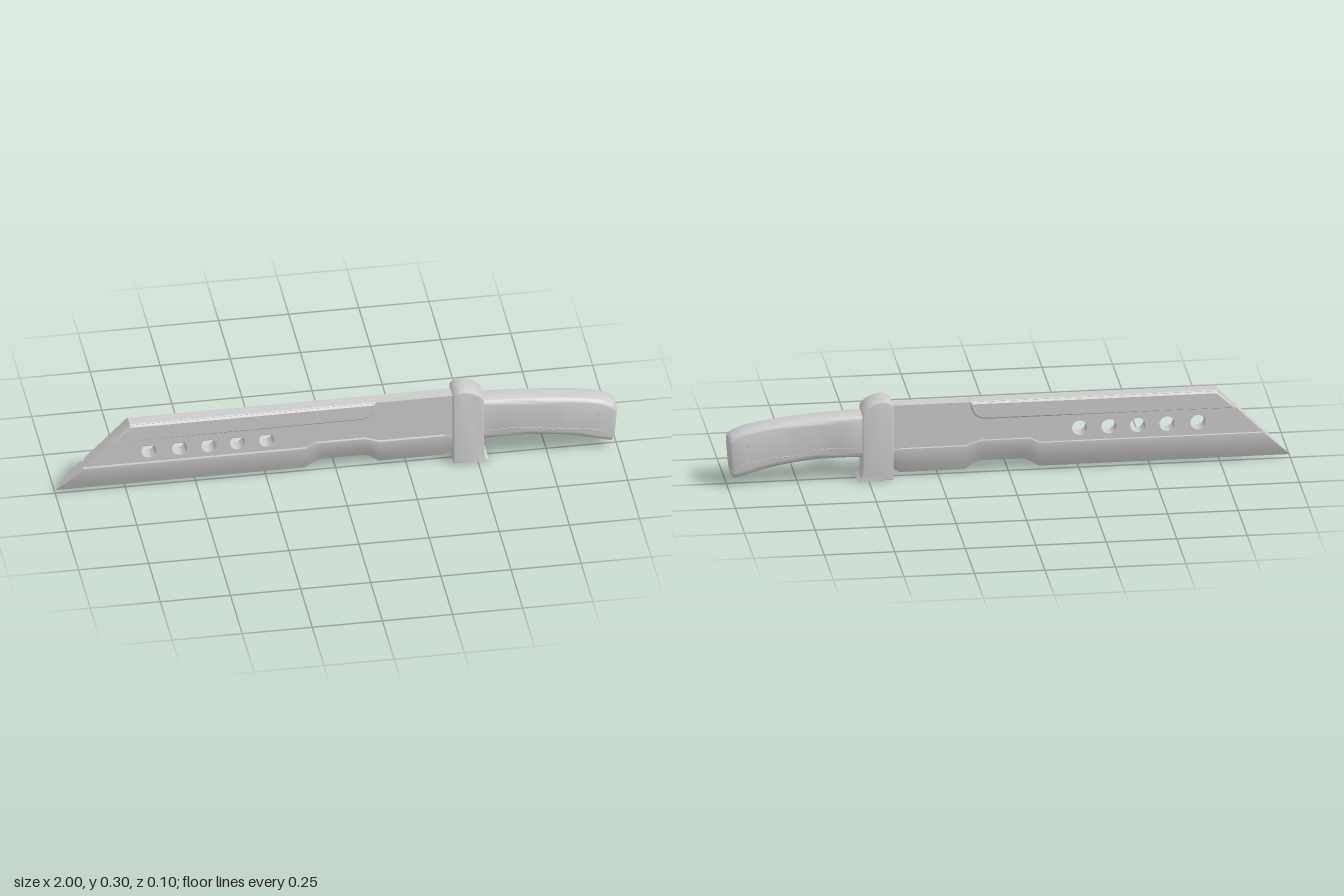
import * as THREE from 'three';
import { toCreasedNormals } from 'three/addons/utils/BufferGeometryUtils.js';

const material = new THREE.MeshStandardMaterial({ color: 0xcccccc });

function addMesh(group, name, geometry, crease = 0.5) {
  const mesh = new THREE.Mesh(toCreasedNormals(geometry, crease), material);
  mesh.name = name;
  group.add(mesh);
  return mesh;
}

const outline = (points) => new THREE.Shape(points.map(([x, y]) => new THREE.Vector2(x, y)));

// Extrusion centred on z = 0, bevelled inside its outline
function slab(shape, halfWidth, bevel = 0, segments = 1) {
  const geometry = new THREE.ExtrudeGeometry(shape, {
    depth: 2 * (halfWidth - bevel), curveSegments: 20, bevelEnabled: bevel > 0,
    bevelSize: bevel, bevelThickness: bevel, bevelOffset: -bevel, bevelSegments: segments,
  });
  return geometry.translate(0, 0, bevel - halfWidth);
}

// Closed skin over rings of [x, y, z] that run towards +x
function loft(rings) {
  const n = rings[0].length;
  const positions = [];
  const tri = (a, b, c) => positions.push(...a, ...b, ...c);
  const centre = (ring) => [0, 1, 2].map((k) => ring.reduce((sum, p) => sum + p[k], 0) / n);
  const first = rings[0], last = rings[rings.length - 1];
  const c0 = centre(first), c1 = centre(last);
  for (let j = 0; j < n; j++) {
    const k = (j + 1) % n;
    for (let i = 0; i < rings.length - 1; i++) {
      tri(rings[i][j], rings[i][k], rings[i + 1][k]);
      tri(rings[i][j], rings[i + 1][k], rings[i + 1][j]);
    }
    tri(c0, first[k], first[j]);
    tri(c1, last[j], last[k]);
  }
  const geometry = new THREE.BufferGeometry();
  geometry.setAttribute('position', new THREE.Float32BufferAttribute(positions, 3));
  return geometry;
}

// The slanted front end of the blade
const slant = (y) => y - 1.01;

function buildBlade() {
  const blade = new THREE.Group();
  blade.name = 'blade';
  const halfWidth = 0.025, gap = 0.012;

  // Line where the ground edge meets the plate, with its step over the notch
  const seam = [[-0.11, 0.106], [-0.075, 0.124], [0.1, 0.124], [0.15, 0.106], [0.42, 0.106]];

  // Flat plate with round holes
  const plate = outline([
    [slant(0.106 + gap), 0.106 + gap], ...seam.map(([x, y]) => [x, y + gap]),
    [0.42, 0.27], [slant(0.27), 0.27],
  ]);
  for (const x of [-0.67, -0.56, -0.456, -0.354, -0.25]) {
    plate.holes.push(new THREE.Path().absarc(x, 0.155, 0.027, 0, Math.PI * 2, true));
  }
  addMesh(blade, 'plate', slab(plate, halfWidth));

  // Floor of the long groove, and the solid piece that closes it near the guard
  const floor = [[slant(0.1), 0.1], ...seam.map(([x, y]) => [x, y - 0.006])];
  const roof = [...seam].reverse().map(([x, y]) => [x, y + gap + 0.003]);
  addMesh(blade, 'grooveFloor', slab(outline([...floor, ...roof, [slant(0.121), 0.121]]), 0.017));
  addMesh(blade, 'grooveEnd',
    slab(outline([[0.385, 0.1], [0.42, 0.1], [0.42, 0.12], [0.385, 0.12]]), halfWidth));

  // Raised upper panel on both sides, ending in a quarter curve
  const panel = new THREE.Shape();
  panel.moveTo(slant(0.202), 0.202);
  panel.lineTo(0.08, 0.202);
  panel.bezierCurveTo(0.12, 0.204, 0.14, 0.225, 0.142, 0.272);
  panel.lineTo(slant(0.272), 0.272);
  addMesh(blade, 'upperPanel', slab(panel, 0.031, 0.009));

  // Ground cutting edge: [x, bottom, top]
  const stations = [
    [-1, 0.01, 0.106], [-0.11, 0.01, 0.106], [-0.075, 0.03, 0.124], [-0.055, 0.04, 0.124],
    [0.1, 0.04, 0.124], [0.12, 0.034, 0.118], [0.155, 0.01, 0.106], [0.385, 0.01, 0.106],
    [0.42, 0.032, 0.106],
  ];
  const section = [[1, 1], [1, 0.85], [0.6, 0.4], [0, 0], [-0.6, 0.4], [-1, 0.85], [-1, 1]];
  const rings = stations.map(([x, bottom, top], i) => section.map(([z, t]) => {
    const y = bottom + (top - bottom) * t;
    return [i === 0 ? slant(y) : x, y, z * halfWidth * 1.1];
  }));
  addMesh(blade, 'cuttingEdge', loft(rings), 0.4);
  return blade;
}

function buildGuard() {
  // Rounded top and a small flared lip at the bottom rear
  const shape = new THREE.Shape();
  shape.moveTo(0.413, 0);
  shape.lineTo(0.54, 0);
  shape.quadraticCurveTo(0.523, 0.012, 0.522, 0.035);
  shape.lineTo(0.522, 0.255);
  shape.quadraticCurveTo(0.5, 0.29, 0.45, 0.295);
  shape.quadraticCurveTo(0.425, 0.295, 0.413, 0.275);
  shape.closePath();
  const guard = new THREE.Group();
  guard.name = 'guard';
  addMesh(guard, 'guardBlock', slab(shape, 0.051, 0.005, 2), 0.6);
  return guard;
}

// Rounded rectangle as [z, y] points, from the top round by +z
function roundedSection(halfZ, halfY, radius) {
  const points = [];
  for (let corner = 0; corner < 4; corner++) {
    const sz = corner < 2 ? 1 : -1, sy = corner === 0 || corner === 3 ? 1 : -1;
    for (let i = 0; i <= 5; i++) {
      const a = (corner + i / 5) * Math.PI / 2;
      points.push([sz * (halfZ - radius) + radius * Math.sin(a),
        sy * (halfY - radius) + radius * Math.cos(a)]);
    }
  }
  return points;
}

function buildHandle() {
  const handle = new THREE.Group();
  handle.name = 'handle';

  // Grip stations: top x, top y, bottom x, bottom y, inset
  const stations = [
    [0.51, 0.246, 0.51, 0.083, 0], [0.6, 0.243, 0.6, 0.085, 0], [0.68, 0.238, 0.68, 0.083, 0],
    [0.76, 0.231, 0.755, 0.076, 0], [0.83, 0.224, 0.82, 0.066, 0], [0.89, 0.215, 0.88, 0.052, 0],
    [0.94, 0.204, 0.93, 0.038, 0], [0.983, 0.187, 0.972, 0.027, 0], [0.991, 0.181, 0.979, 0.026, 0.003],
    [0.996, 0.174, 0.984, 0.031, 0.009],
  ];
  const rings = stations.map(([tx, ty, bx, by, inset]) => {
    const halfY = (ty - by) / 2;
    return roundedSection(0.045 - inset, halfY, 0.024).map(([z, y]) => {
      const t = (y / halfY + 1) / 2;
      return [bx + (tx - bx) * t + 0.006 * Math.sin(Math.PI * t) * (tx > 0.95 ? 1 : 0), by + (ty - by) * t, z];
    });
  });
  addMesh(handle, 'grip', loft(rings), 0.7);

  // Wavy seam and flush pins on both sides
  const pins = [[0.58, 0.2], [0.93, 0.15]];
  for (const side of [1, -1]) {
    const path = new THREE.CatmullRomCurve3(
      [[0.53, 0.122], [0.62, 0.126], [0.7, 0.12], [0.76, 0.106], [0.85, 0.1], [0.96, 0.078]]
        .map(([x, y]) => new THREE.Vector3(x, y, side * 0.0445)));
    addMesh(handle, 'gripSeam', new THREE.TubeGeometry(path, 40, 0.0016, 6), 1);
    for (const [x, y] of pins) {
      const pin = addMesh(handle, 'pin', new THREE.CylinderGeometry(0.008, 0.008, 0.003, 16));
      pin.rotation.x = Math.PI / 2;
      pin.position.set(x, y, side * 0.0445);
    }
  }
  return handle;
}

export function createModel() {
  const model = new THREE.Group();
  model.name = 'machete';
  model.add(buildBlade(), buildGuard(), buildHandle());
  return model;
}
